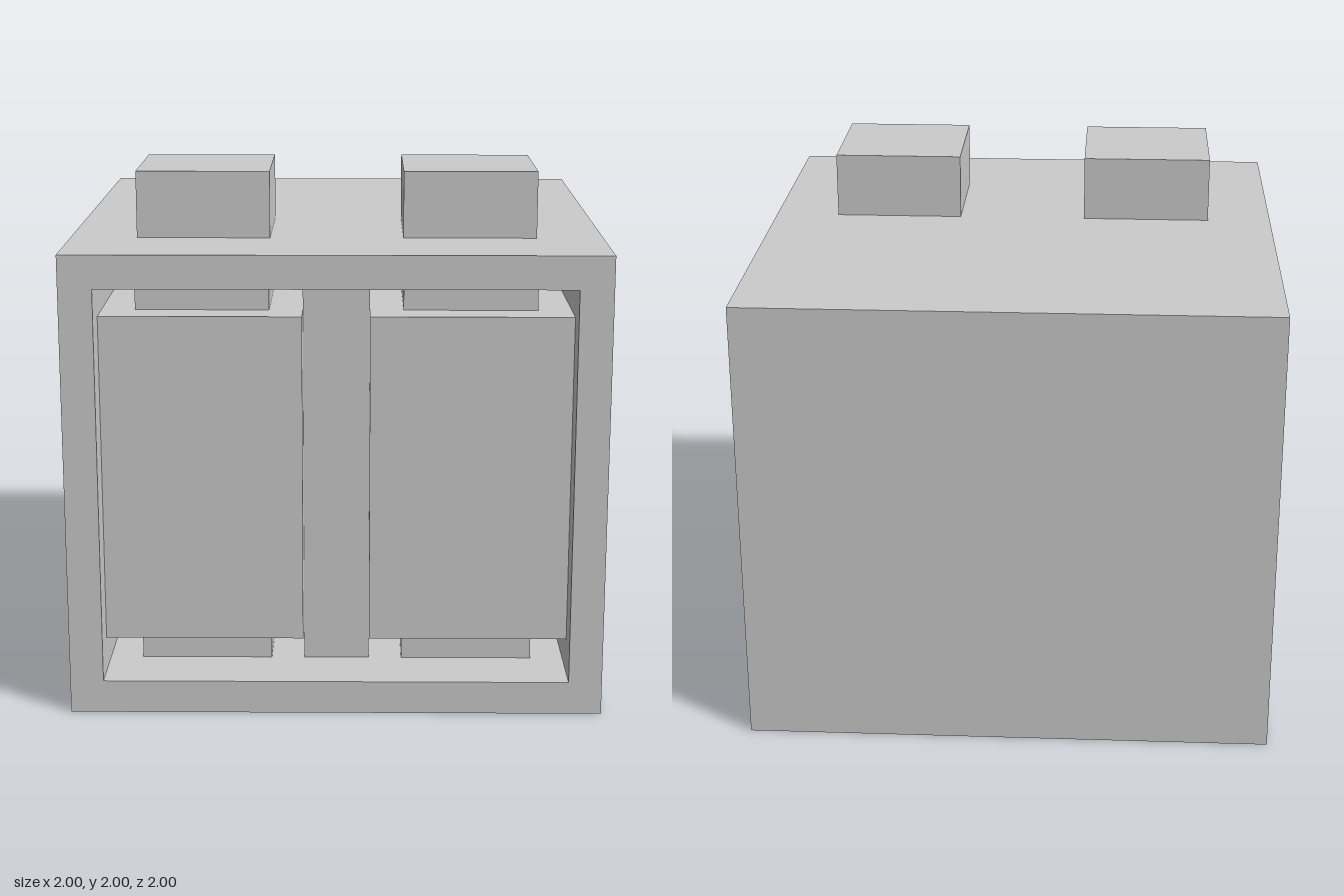
import * as THREE from 'three';
import { mergeGeometries } from 'three/addons/utils/BufferGeometryUtils.js';

const material = new THREE.MeshStandardMaterial({ color: 0xcccccc });

// Box given by its lower and upper corners
function boxGeometry([x0, y0, z0], [x1, y1, z1]) {
  return new THREE.BoxGeometry(x1 - x0, y1 - y0, z1 - z0)
    .translate((x0 + x1) / 2, (y0 + y1) / 2, (z0 + z1) / 2);
}

function add(parent, name, geometry) {
  const mesh = new THREE.Mesh(geometry, material);
  mesh.name = name;
  parent.add(mesh);
}

// Remove the +z face of a box
function openFront(geometry) {
  const index = Array.from(geometry.index.array);
  index.splice(24, 6);
  geometry.setIndex(index);
  return geometry;
}

function rectangle(PathType, x, y0, y1) {
  return new PathType([[-x, y0], [x, y0], [x, y1], [-x, y1]].map(p => new THREE.Vector2(...p)));
}

// Outer walls, front rim and inward-facing walls of the recess
function casingGeometry() {
  const outer = openFront(boxGeometry([-1, 0, -1], [1, 1.75, 1]));
  const rim = rectangle(THREE.Shape, 1, 0, 1.75);
  rim.holes.push(rectangle(THREE.Path, 0.875, 0.125, 1.625));
  const front = new THREE.ShapeGeometry(rim).translate(0, 0, 1);
  const inner = openFront(boxGeometry([-0.875, 0.125, 0.125], [0.875, 1.625, 1]));
  inner.scale(-1, 1, 1); // mirrored so the faces look inward
  inner.computeVertexNormals();
  return mergeGeometries([outer, front, inner]);
}

export function createModel() {
  const model = new THREE.Group();
  model.name = 'batteryBox';

  add(model, 'casing', casingGeometry());
  add(model, 'divider', boxGeometry([-0.125, 0.125, 0.125], [0.125, 1.625, 0.75]));

  // One cell with end caps and a roof terminal on each side
  for (const [side, x] of [['right', -0.5], ['left', 0.5]]) {
    const cell = new THREE.Group();
    cell.name = side + 'Cell';
    cell.position.x = x;
    add(cell, 'cellBody', boxGeometry([-0.375, 0.25, 0.125], [0.375, 1.5, 0.875]));
    add(cell, 'lowerCap', boxGeometry([-0.25, 0.125, 0.25], [0.25, 0.25, 0.75]));
    add(cell, 'upperCap', boxGeometry([-0.25, 1.5, 0.25], [0.25, 1.625, 0.75]));
    add(cell, 'roofTerminal', boxGeometry([-0.25, 1.75, 0.125], [0.25, 2, 0.625]));
    model.add(cell);
  }
  return model;
}
